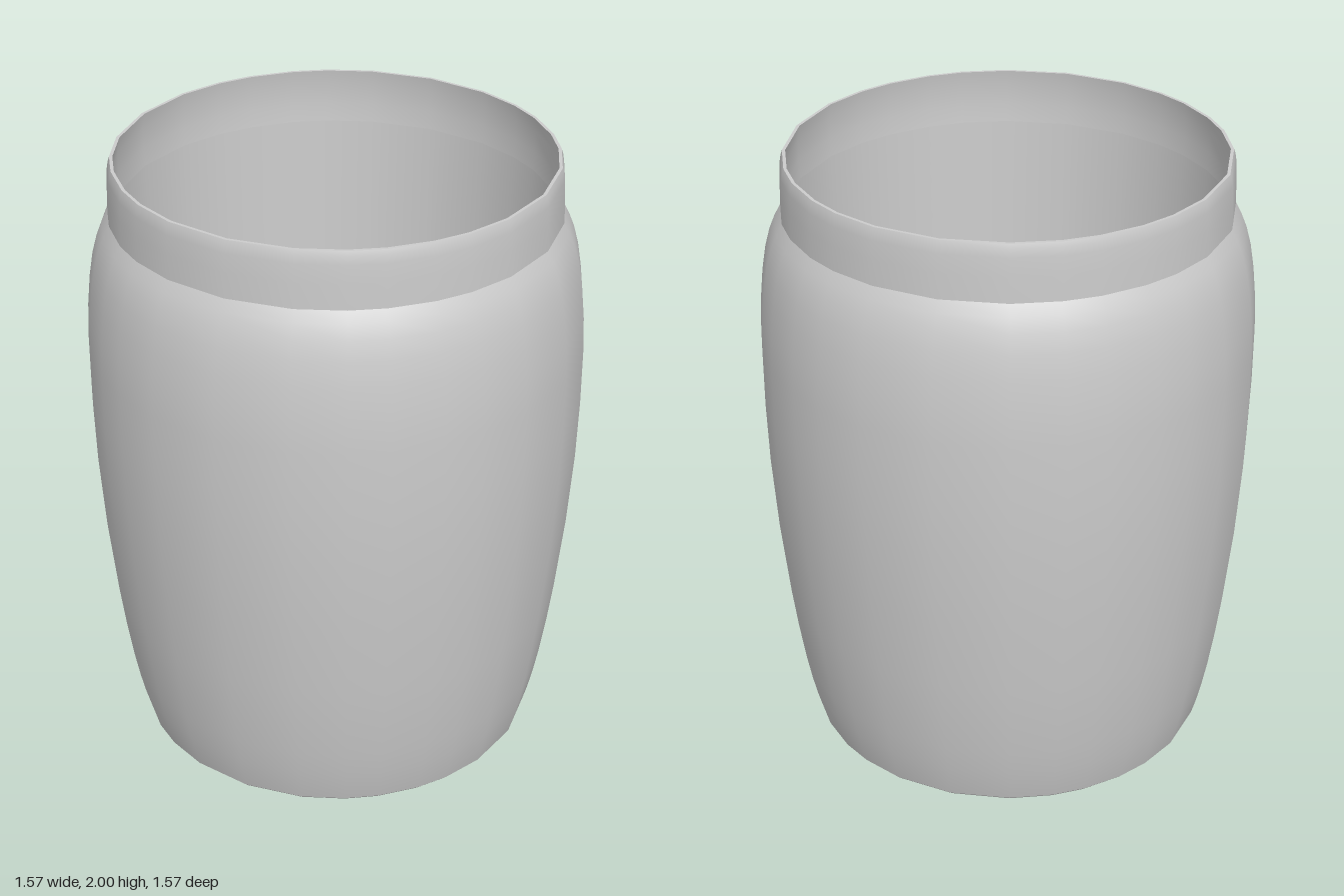
import * as THREE from 'three';

// uneven ring spacing: tighter near the axes, wider on the diagonals
const QUADRANT = [6, 15.5, 28, 45, 62, 74.5, 84];
const SEGMENTS = QUADRANT.length * 4;
const SCALE = 1 / Math.cos(THREE.MathUtils.degToRad(6)); // flats reach the given radius

// Lathe a [radius, y] profile, then turn each ring step to its own angle
function ring(name, profile, material) {
  const points = profile.map(([r, y]) => new THREE.Vector2(r * SCALE, y));
  const geometry = new THREE.LatheGeometry(points, SEGMENTS);
  const { position, normal } = geometry.attributes;
  const axis = new THREE.Vector3(0, 1, 0);
  const v = new THREE.Vector3();
  for (let i = 0; i <= SEGMENTS; i++) {
    const degrees = QUADRANT[i % 7] + 90 * Math.floor(i / 7);
    const turn = THREE.MathUtils.degToRad(degrees) - (i / SEGMENTS) * Math.PI * 2;
    for (let j = 0; j < points.length; j++) {
      const k = i * points.length + j;
      for (const attribute of [position, normal]) {
        v.fromBufferAttribute(attribute, k).applyAxisAngle(axis, turn);
        attribute.setXYZ(k, v.x, v.y, v.z);
      }
    }
  }
  const mesh = new THREE.Mesh(geometry, material);
  mesh.name = name;
  return mesh;
}

export function createModel() {
  const group = new THREE.Group();
  group.name = 'jar';
  const material = new THREE.MeshStandardMaterial({ color: 0xcccccc, side: THREE.DoubleSide });

  // bulging side wall, from foot to shoulder
  const body = [
    [0.65, 0.01], [0.664, 0.06], [0.68, 0.13], [0.697, 0.22], [0.717, 0.35],
    [0.735, 0.49], [0.762, 0.75], [0.779, 1.0], [0.785, 1.2], [0.785, 1.39],
    [0.78, 1.5], [0.77, 1.6], [0.757, 1.68], [0.741, 1.74], [0.723, 1.785], [0.704, 1.82],
  ];
  // upright collar with a slightly drawn-in top
  const neck = [[0.704, 1.82], [0.702, 1.9], [0.699, 1.96], [0.695, 1.985], [0.69, 2]];

  group.add(
    ring('body', body, material),
    ring('neck', neck, material),
    ring('lip', [[0.69, 2], [0.68, 2]], material),
    ring('neckInside', [[0.68, 2], [0.688, 1.95], [0.69, 1.88], [0.686, 1.82]], material),
    // nearly straight inner wall down to the floor
    ring('innerWall', [[0.686, 1.82], [0.638, 0.05]], material),
    // narrow foot rim around the raised conical base
    ring('foot', [[0.64, 0], [0.65, 0.01]], material),
    ring('footInside', [[0.636, 0.04], [0.64, 0]], material),
    ring('baseUnderside', [[0, 0.25], [0.636, 0.04]], material),
    ring('floor', [[0.638, 0.05], [0, 0.26]], material),
  );
  return group;
}
